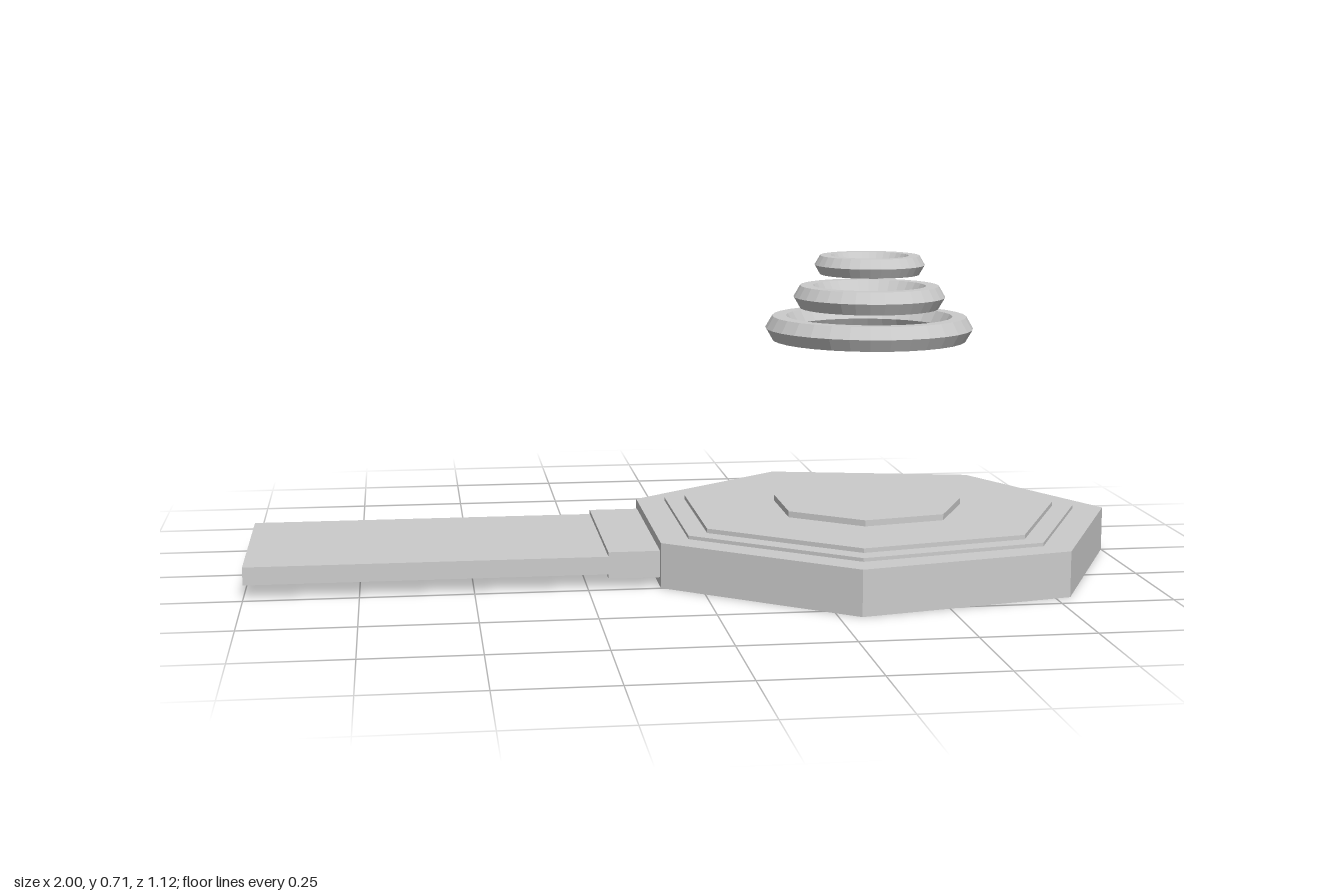
import * as THREE from 'three';

const CENTER_X = 0.427;
const material = new THREE.MeshStandardMaterial({ color: 0xcccccc, flatShading: true });

export function createModel() {
  const model = new THREE.Group();

  function add(name, geometry, x, y) {
    const mesh = new THREE.Mesh(geometry, material);
    mesh.name = name;
    mesh.position.set(x, y, 0);
    model.add(mesh);
  }

  // Seven-sided platform with stepped tiers, one corner pointing to +x
  const tiers = [
    ['platformBase', 0.573, 0, 0.102],
    ['lowerStep', 0.5, 0.102, 0.11],
    ['upperStep', 0.45, 0.11, 0.12],
    ['centerPlate', 0.225, 0.12, 0.134],
  ];
  for (const [name, radius, bottom, top] of tiers) {
    const prism = new THREE.CylinderGeometry(radius, radius, top - bottom, 7, 1, false, Math.PI / 2);
    add(name, prism, CENTER_X, (bottom + top) / 2);
  }

  // Flat walkway and the thicker joint that meets the platform
  add('walkway', new THREE.BoxGeometry(0.81, 0.04, 0.466), -0.595, 0.051);
  add('walkwayJoint', new THREE.BoxGeometry(0.13, 0.06, 0.466), -0.139, 0.051);

  // Three floating rings with six-sided cross-sections
  const rings = [
    ['largeRing', 0.208, 0.032, 0.543],
    ['middleRing', 0.145, 0.03, 0.615],
    ['smallRing', 0.102, 0.025, 0.689],
  ];
  for (const [name, radius, tube, y] of rings) {
    add(name, new THREE.TorusGeometry(radius, tube, 6, 32).rotateX(Math.PI / 2), CENTER_X, y);
  }

  return model;
}
